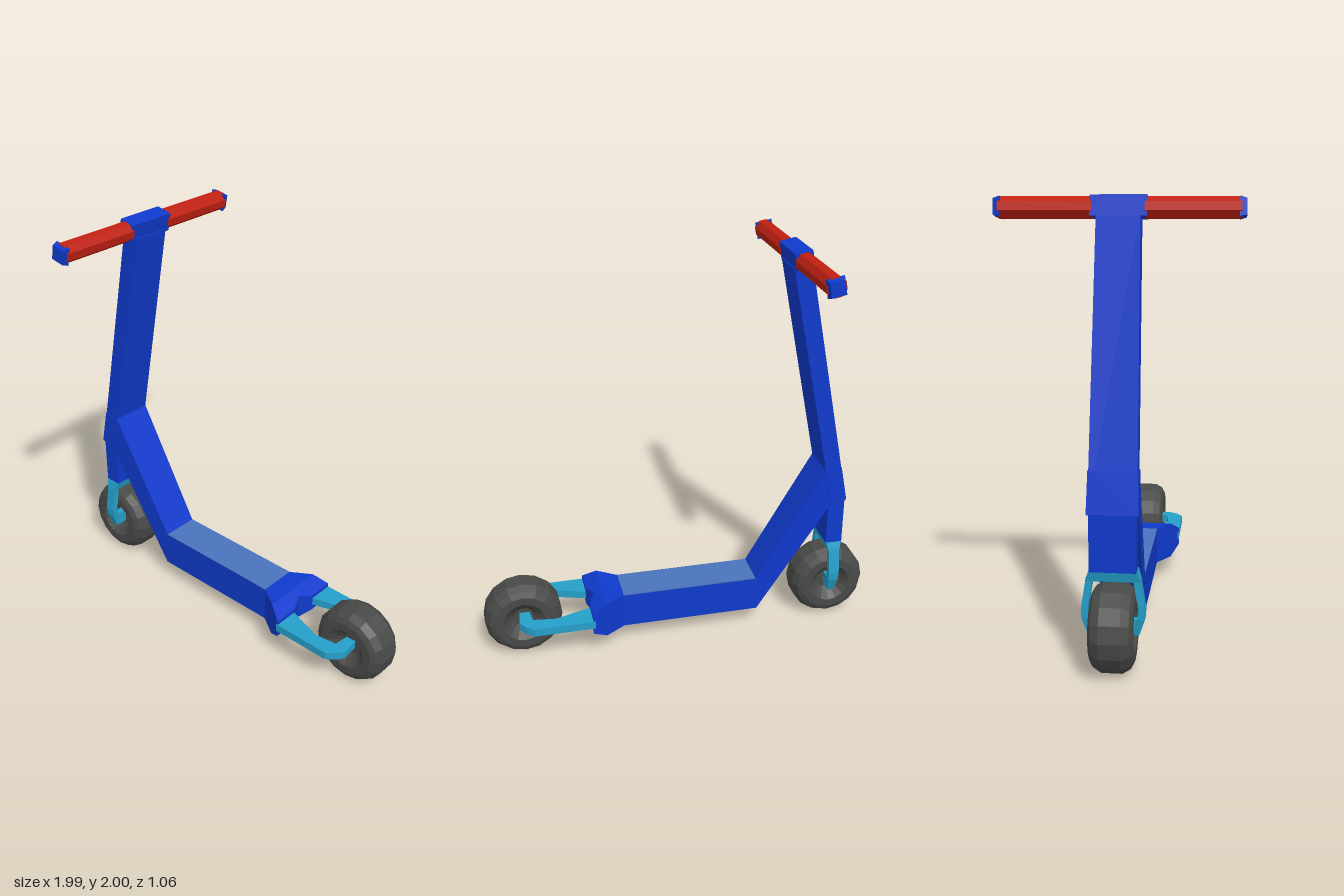
import * as THREE from 'three';
import { ConvexGeometry } from 'three/addons/geometries/ConvexGeometry.js';

const mat = (color) => new THREE.MeshStandardMaterial({ color, flatShading: true });

export function createModel() {
  const root = new THREE.Group();
  const blue = mat(0x0f3acc), cyan = mat(0x259fca), red = mat(0xc02012);
  const rubber = mat(0x484a48), deckBlue = mat(0x4a72bd);

  function add(name, geometry, material, parent = root) {
    const mesh = new THREE.Mesh(geometry, material);
    mesh.name = name;
    parent.add(mesh);
    return mesh;
  }
  const hull = (pts) => new ConvexGeometry(pts.map((p) => new THREE.Vector3(...p)));
  // Side profile of [x, y, half width] corners, mirrored across z
  const slab = (profile) => hull(profile.flatMap(([x, y, w]) => [[x, y, w], [x, y, -w]]));
  // Box-like ring of corners at one height: x and z ranges
  const level = (y, x0, x1, z0, z1) => [[x0, y, z0], [x1, y, z0], [x1, y, z1], [x0, y, z1]];

  // Steering column, head joint and frame
  add('steererTube', slab([[-0.845, 0.45, 0.1], [-0.76, 0.45, 0.1], [-0.76, 0.72, 0.1], [-0.845, 0.72, 0.1]]), blue);
  add('headJoint', slab([[-0.85, 0.7, 0.11], [-0.765, 0.67, 0.11], [-0.735, 0.87, 0.106], [-0.815, 0.88, 0.106]]), blue);
  add('stem', slab([[-0.845, 0.72, 0.104], [-0.765, 0.72, 0.104], [-0.519, 1.91, 0.093], [-0.605, 1.93, 0.093]]), blue);
  add('downTube', slab([[-0.8, 0.72, 0.104], [-0.765, 0.67, 0.104], [-0.735, 0.87, 0.104],
    [-0.39, 0.285, 0.095], [-0.4, 0.1, 0.095]]), blue);
  add('deck', slab([[-0.4, 0.1, 0.095], [0.3, 0.1, 0.095], [0.3, 0.284, 0.095], [-0.39, 0.284, 0.095]]), blue);
  const pad = add('deckPad', new THREE.BoxGeometry(0.69, 0.006, 0.19), deckBlue);
  pad.position.set(-0.045, 0.283, 0);

  // Mirrored halves: flared yoke, rear arms and front fork legs
  for (const [side, s] of [['left', 1], ['right', -1]]) {
    const flip = (pts) => pts.map(([x, y, z]) => [x, y, z * s]);

    // Plan outline of the yoke: x, z, lower y, upper y
    const yoke = [[0.3, 0, 0.1, 0.285], [0.3, 0.095, 0.1, 0.285], [0.4, 0.16, 0.1, 0.285], [0.4, 0, 0.1, 0.285],
      [0.44, 0, 0.128, 0.26], [0.47, 0.07, 0.15, 0.24], [0.47, 0.2, 0.15, 0.24]];
    add(side + 'Yoke', hull(flip(yoke.flatMap(([x, z, a, b]) => [[x, a, z], [x, b, z]]))), blue);

    const outline = [[0.46, 0.07], [0.65, 0.13], [0.76, 0.115], [0.77, 0.04], [0.82, 0.04],
      [0.828, 0.13], [0.8, 0.17], [0.76, 0.2], [0.46, 0.2]];
    const arm = new THREE.ExtrudeGeometry(
      new THREE.Shape(outline.map(([x, z]) => new THREE.Vector2(x, z * s))), { depth: 0.04, bevelEnabled: false });
    arm.rotateX(Math.PI / 2).translate(0, 0.22, 0);
    add(side + 'RearArm', arm, cyan);

    add(side + 'ForkLeg', hull(flip([...level(0.42, -0.83, -0.775, 0.085, 0.115),
      ...level(0.28, -0.83, -0.775, 0.108, 0.137)])), cyan);
    add(side + 'ForkTip', hull(flip([...level(0.28, -0.83, -0.775, 0.108, 0.137),
      ...level(0.24, -0.828, -0.777, 0.1, 0.135), ...level(0.165, -0.815, -0.785, 0.085, 0.11)])), cyan);
    add(side + 'ForkAxle', hull(flip([...level(0.235, -0.82, -0.785, 0.035, 0.12),
      ...level(0.165, -0.815, -0.785, 0.035, 0.11)])), cyan);

    // Handlebar grip and tapered end cap
    const grip = new THREE.CylinderGeometry(0.048, 0.048, 0.4, 8);
    grip.rotateY(Math.PI / 8).rotateX(Math.PI / 2).rotateZ(-0.19).translate(-0.56, 1.945, 0.31 * s);
    add(side + 'Grip', grip, red);
    const cap = new THREE.CylinderGeometry(s > 0 ? 0.048 : 0.06, s > 0 ? 0.06 : 0.048, 0.03, 4);
    cap.rotateY(Math.PI / 4).rotateX(Math.PI / 2).rotateZ(-0.19).translate(-0.56, 1.945, 0.515 * s);
    add(side + 'GripCap', cap, blue);
  }

  // Fork crown joining both legs over the front wheel
  add('forkCrown', hull([...level(0.45, -0.842, -0.762, -0.104, 0.104),
    ...level(0.405, -0.83, -0.775, -0.118, 0.118)]), cyan);

  // Clamp holding the handlebar on the stem
  const clamp = add('handlebarClamp', new THREE.BoxGeometry(0.084, 0.088, 0.24), blue);
  clamp.position.set(-0.56, 1.948, 0);
  clamp.rotation.z = -0.19;

  // Chunky tyres with dished hubs
  const half = [[0.105, 0.094], [0.145, 0.094], [0.172, 0.08], [0.193, 0.045]];
  const profile = [[0, -0.04], [0.05, -0.04], ...half.map(([r, z]) => [r, -z]),
    ...half.slice().reverse(), [0.05, 0.04], [0, 0.04]].map(([r, z]) => new THREE.Vector2(r, z));
  for (const [name, x] of [['frontWheel', -0.8], ['rearWheel', 0.8]]) {
    const wheel = new THREE.LatheGeometry(profile, 16);
    wheel.rotateX(Math.PI / 2);
    add(name, wheel, rubber).position.set(x, 0.195, 0);
  }
  return root;
}
